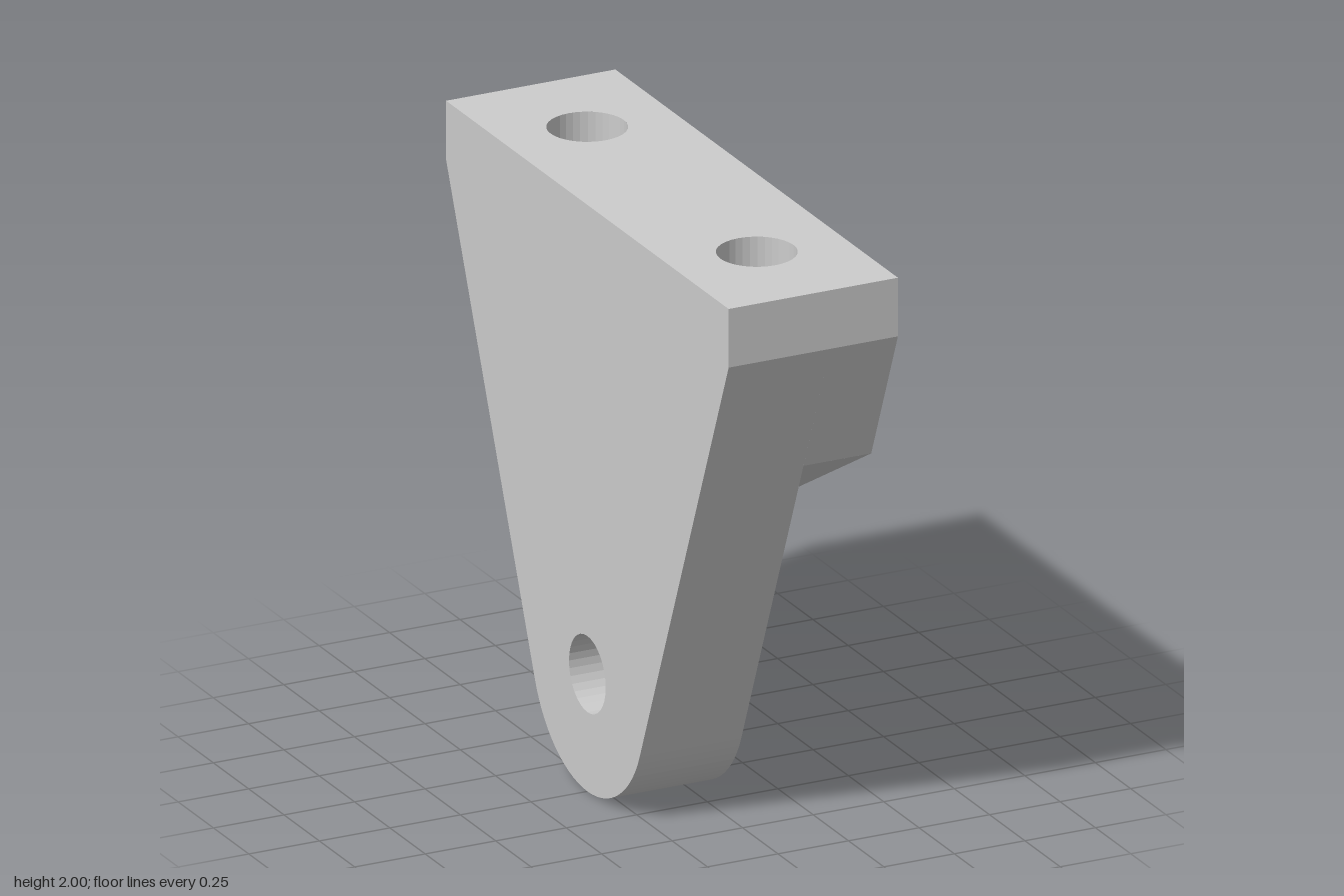
import * as THREE from 'three';

const X0 = -0.3, XM = 0.06, X1 = 0.3;      // outer plate side, step, block side
const R = 0.13, BOLT_Z = 0.6, FLOOR = 1.2; // hole radius, bolt position, bolt hole floor
const veeY = z => 0.866 + 0.577 * Math.abs(z);
const V2 = (a, b) => new THREE.Vector2(a, b);

// Points on an arc, from angle a to angle b
function arc(cx, cy, r, a, b, n) {
  return Array.from({ length: n + 1 }, (_, i) => {
    const t = a + (b - a) * i / n;
    return V2(cx + r * Math.cos(t), cy + r * Math.sin(t));
  });
}

export function createModel() {
  const group = new THREE.Group();
  const metal = new THREE.MeshStandardMaterial({ color: 0xcccccc });

  function add(name, geometry) {
    const g = geometry.index ? geometry.toNonIndexed() : geometry;
    g.computeVertexNormals();
    const mesh = new THREE.Mesh(g, metal);
    mesh.name = name;
    group.add(mesh);
  }

  // Flat outline with holes, placed in space by a mapping
  function face(name, outline, holes, map, flip) {
    const shape = new THREE.Shape(outline);
    holes.forEach(h => shape.holes.push(new THREE.Path(h)));
    const g = new THREE.ShapeGeometry(shape);
    const p = g.attributes.position;
    for (let i = 0; i < p.count; i++) p.setXYZ(i, ...map(p.getX(i), p.getY(i)));
    if (flip) g.setIndex(Array.from(g.index.array).reverse());
    add(name, g);
  }

  // Faceted strip joining two rows of points
  function wall(name, a, b) {
    const v = [];
    for (let i = 0; i < a.length - 1; i++) {
      for (const q of [a[i], b[i], b[i + 1], a[i], b[i + 1], a[i + 1]]) v.push(...q);
    }
    const g = new THREE.BufferGeometry();
    g.setAttribute('position', new THREE.Float32BufferAttribute(v, 3));
    add(name, g);
  }
  const sideWall = (name, pts, xa, xb) =>
    wall(name, pts.map(p => [xa, p.y, p.x]), pts.map(p => [xb, p.y, p.x]));
  const atX = x => (z, y) => [x, y, z];

  // Profile in (z, y): square top, tapering sides, round foot
  const TZ = 0.811, TY = 1.334, tilt = 0.386;
  const foot = arc(0, 0.4, 0.4, Math.PI + tilt, 2 * Math.PI - tilt, 28);
  const profile = [V2(-1, 2), V2(-1, 1.8), ...foot, V2(1, 1.8), V2(1, 2)];
  const pin = arc(0, 0.4, R, 2 * Math.PI, 0, 32);

  // Plate
  face('plateOuterFace', profile, [pin.slice(0, -1)], atX(X0), false);
  sideWall('plateEdge', profile, X0, XM);
  sideWall('pinHole', pin, X0, XM);

  // Exposed lower face of the plate, notched where the bolt holes run out
  const chord = Math.sqrt(R * R - XM * XM);
  const zi = BOLT_Z - chord, zo = BOLT_Z + chord;
  const rim = [V2(TZ, TY), V2(zo, veeY(zo)), V2(zo, FLOOR), V2(zi, FLOOR), V2(zi, veeY(zi))];
  const mirroredRim = rim.map(p => V2(-p.x, p.y)).reverse();
  face('plateLowerFace', [...foot, ...rim, V2(0, veeY(0)), ...mirroredRim],
    [pin.slice(0, -1)], atX(XM), true);

  // Block above the vee
  face('blockFace', [V2(-1, 2), V2(-1, 1.8), V2(-TZ, TY), V2(0, veeY(0)),
    V2(TZ, TY), V2(1, 1.8), V2(1, 2)], [], atX(X1), true);
  sideWall('blockBackEdge', [V2(-1, 2), V2(-1, 1.8), V2(-TZ, TY)], XM, X1);
  sideWall('blockFrontEdge', [V2(TZ, TY), V2(1, 1.8), V2(1, 2)], XM, X1);

  // Top with two bolt holes
  face('topFace', [V2(X0, -1), V2(X1, -1), V2(X1, 1), V2(X0, 1)],
    [-1, 1].map(s => arc(0, s * BOLT_Z, R, 2 * Math.PI, 0, 32).slice(0, -1)),
    (x, z) => [x, 2, z], true);

  // Bolt holes: open through the vee on the block side, blind in the plate
  const a0 = Math.acos(XM / R);
  for (const s of [-1, 1]) {
    const end = s > 0 ? 'front' : 'back';
    const open = arc(0, s * BOLT_Z, R, -a0, a0, 12);
    const blind = arc(0, s * BOLT_Z, R, a0, 2 * Math.PI - a0, 22);
    const top = pts => pts.map(p => [p.x, 2, p.y]);
    wall(end + 'BoltHoleOpenWall', top(open), open.map(p => [p.x, veeY(p.y), p.y]));
    wall(end + 'BoltHoleBlindWall', top(blind), blind.map(p => [p.x, FLOOR, p.y]));
    face(end + 'BoltHoleFloor', blind, [], (x, z) => [x, FLOOR, z], true);
    face(end + 'VeeUnderside', [V2(XM, 0), V2(X1, 0), V2(X1, TZ), V2(XM, TZ),
      ...arc(0, BOLT_Z, R, a0, -a0, 12)], [],
      (x, z) => [x, veeY(z), s * z], s < 0);
  }
  return group;
}
